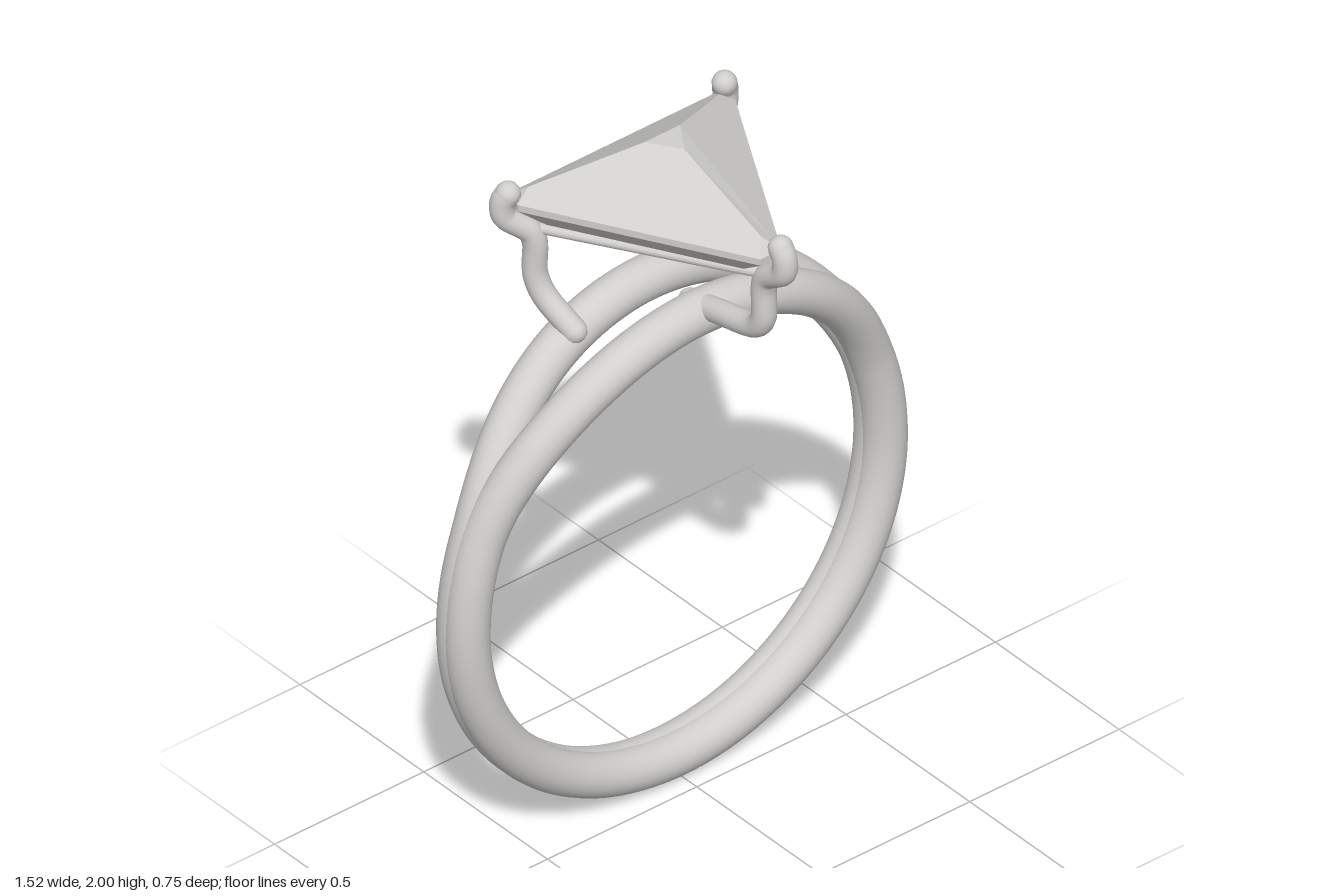
import * as THREE from 'three';

const silver = new THREE.MeshStandardMaterial({ color: 0xd0cfcc });
silver.name = 'silver';

const V = (x, y, z) => new THREE.Vector3(x, y, z);

function addMesh(parent, name, geometry) {
  const mesh = new THREE.Mesh(geometry, silver);
  mesh.name = name;
  parent.add(mesh);
  return mesh;
}

// Round wire along a path, with ball ends
function addWire(parent, name, points, radius) {
  const wire = new THREE.Group();
  wire.name = name;
  const curve = new THREE.CatmullRomCurve3(points);
  addMesh(wire, name + 'Wire', new THREE.TubeGeometry(curve, points.length * 8, radius, 16));
  for (const p of [points[0], points[points.length - 1]]) {
    addMesh(wire, name + 'End', new THREE.SphereGeometry(radius, 16, 12)).position.copy(p);
  }
  parent.add(wire);
}

// One band strand: joined at the bottom, spreading apart towards the top
function strandGeometry(side) {
  const points = [];
  for (let i = 0; i < 64; i++) {
    const a = (i / 64) * Math.PI * 2;
    const s = Math.sin(a);
    const y = 0.76 + s * (s > 0 ? 0.75 : 0.698);
    const spread = 0.015 + 0.09 * THREE.MathUtils.smoothstep(y, 1.0, 1.57);
    points.push(V(0.699 * Math.cos(a), y, -0.1 + side * spread));
  }
  return new THREE.TubeGeometry(new THREE.CatmullRomCurve3(points, true), 160, 0.061, 24, true);
}

// Triangular faceted stone with clipped corners
function stoneGeometry() {
  const pos = [];
  const face = (...p) => {
    for (let i = 1; i < p.length - 1; i++) {
      for (const v of [p[0], p[i], p[i + 1]]) pos.push(v.x, v.y, v.z);
    }
  };
  const outline = [[-0.035, 0.3], [0.035, 0.3], [0.365, -0.285], [0.34, -0.34], [-0.34, -0.34], [-0.365, -0.285]];
  const ring = (y, k) => outline.map(([x, z]) => V(x * k, y, -0.1 + (z + 0.1) * k));

  // Crown: table, three main facets and three corner facets
  const g = ring(1.86, 1);
  const table = [V(0, 2, -0.05), V(0.06, 2, -0.14), V(-0.06, 2, -0.14)];
  const tips = [V(0, 1.895, 0.26), V(0.32, 1.892, -0.295), V(-0.32, 1.892, -0.295)];
  face(...table);
  for (let i = 0; i < 3; i++) {
    const j = (i + 1) % 3;
    face(g[2 * i], g[2 * i + 1], tips[i]);
    face(g[2 * i + 1], g[2 * j], tips[j], table[j], table[i], tips[i]);
  }

  // Girdle and stepped pavilion down to the point
  const rings = [g, ring(1.84, 1), ring(1.785, 0.81), ring(1.77, 0.6)];
  const culet = V(0, 1.65, -0.1);
  for (let i = 0; i < 6; i++) {
    const j = (i + 1) % 6;
    for (let r = 0; r < 3; r++) {
      face(rings[r + 1][i], rings[r + 1][j], rings[r][j], rings[r][i]);
    }
    face(culet, rings[3][j], rings[3][i]);
  }
  const geometry = new THREE.BufferGeometry();
  geometry.setAttribute('position', new THREE.Float32BufferAttribute(pos, 3));
  geometry.computeVertexNormals();
  return geometry;
}

export function createModel() {
  const model = new THREE.Group();
  model.name = 'ring';

  // Split band
  const band = new THREE.Group();
  band.name = 'band';
  addMesh(band, 'frontStrand', strandGeometry(1));
  addMesh(band, 'backStrand', strandGeometry(-1));
  model.add(band);

  addMesh(model, 'stone', stoneGeometry());

  // Claw setting
  const setting = new THREE.Group();
  setting.name = 'setting';
  model.add(setting);

  addWire(setting, 'frontProng', [
    V(0.012, 1.89, 0.325), V(0.012, 1.865, 0.34), V(0.012, 1.82, 0.338), V(0.012, 1.765, 0.268),
    V(0.012, 1.73, 0.257), V(0.012, 1.63, 0.255), V(0.012, 1.59, 0.225), V(0.012, 1.55, 0.08), V(0.012, 1.52, -0.04),
  ], 0.034);

  // Back prongs, mirrored with a slight shift of the setting
  for (const [side, dx, dz] of [[1, 0, 0], [-1, -0.012, 0.02]]) {
    const p = (x, y, z) => V(side * x + dx, y, z + dz);
    addWire(setting, side > 0 ? 'backLeftProng' : 'backRightProng', [
      p(0.365, 1.89, -0.328), p(0.375, 1.865, -0.337), p(0.372, 1.82, -0.335), p(0.315, 1.765, -0.3),
      p(0.305, 1.73, -0.292), p(0.305, 1.63, -0.29), p(0.295, 1.57, -0.265), p(0.265, 1.49, -0.18),
    ], 0.034);
  }

  // Thin rails under the stone, joining the prongs
  const corners = [V(0.01, 1.77, 0.25), V(0.305, 1.77, -0.285), V(-0.31, 1.77, -0.275)];
  corners.forEach((a, i) => {
    const path = new THREE.LineCurve3(a, corners[(i + 1) % 3]);
    addMesh(setting, 'rail', new THREE.TubeGeometry(path, 1, 0.015, 12));
  });

  return model;
}
